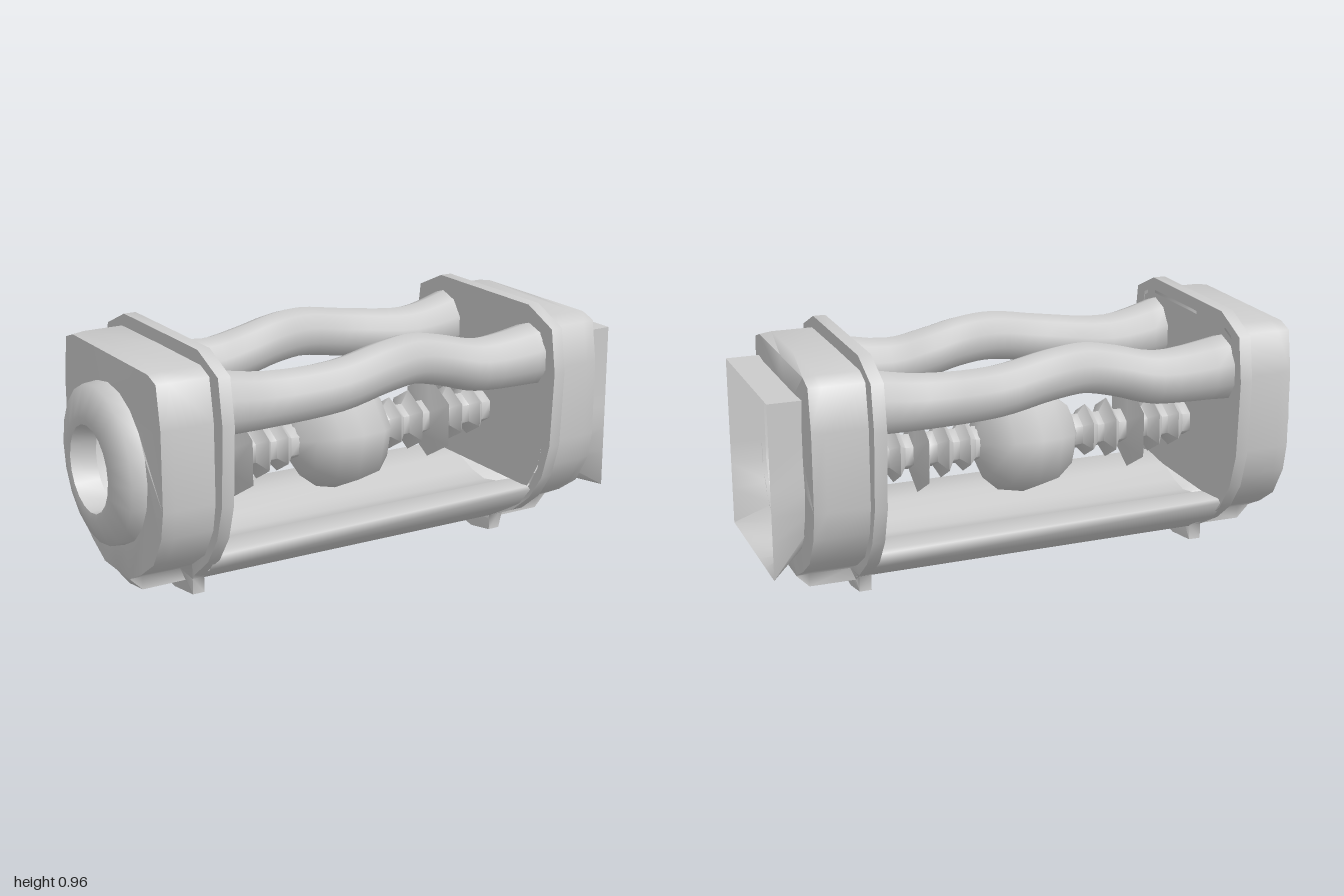
import * as THREE from 'three';
import { toCreasedNormals } from 'three/addons/utils/BufferGeometryUtils.js';

const mat = new THREE.MeshStandardMaterial({ color: 0xcccccc, side: THREE.DoubleSide });

function mesh(name, geometry) {
  const m = new THREE.Mesh(geometry, mat);
  m.name = name;
  return m;
}

// Skin a list of rings, each an array of [x, y, z] with the same point count
function loft(rings, flip = false, crease = 1.3) {
  const n = rings[0].length, index = [];
  for (let r = 0; r < rings.length - 1; r++) {
    for (let i = 0; i < n; i++) {
      const a = r * n + i, b = r * n + (i + 1) % n, c = a + n, d = b + n;
      index.push(...(flip ? [a, c, b, b, c, d] : [a, b, c, b, d, c]));
    }
  }
  const g = new THREE.BufferGeometry();
  g.setAttribute('position', new THREE.Float32BufferAttribute(rings.flat(2), 3));
  g.setIndex(index);
  return toCreasedNormals(g, crease);
}

// Complete a half outline of [z, y], whose first and last points lie on z = 0
const mirror = half => [...half, ...half.slice(1, -1).reverse().map(([z, y]) => [-z, y])];

const circle = (z, y, r, n = 20) => Array.from({ length: n }, (_, i) => {
  const t = i / n * Math.PI * 2;
  return [z + r * Math.sin(t), y + r * Math.cos(t)];
});

// Socket outline: squared off, with rounded lower corners when round is set
const socket = (n, round) => circle(0, 0, 1, n).map(([z, y]) => {
  const k = round && y < 0 ? 1.04 : 1 / Math.max(Math.abs(z), Math.abs(y));
  return [z * k * 0.297, 0.498 + y * k * 0.312];
});

// Flange outline with the half width of its foot
const flangeOutline = foot => mirror([[0, 0.952], [0.28, 0.952], [0.42, 0.89], [0.445, 0.73],
  [0.43, 0.45], [0.39, 0.32], [0.32, 0.22], [0.22, 0.14], [foot, 0.09], [foot, 0.032], [0, 0.0125]]);
const bodyOutline = mirror([[0, 0.907], [0.3, 0.905], [0.36, 0.88], [0.385, 0.73], [0.385, 0.45],
  [0.365, 0.35], [0.3, 0.24], [0.2, 0.172], [0.107, 0.125], [0.107, 0.077], [0, 0.063]]);

// Front rail: x, y, z of the centre line
const railCurve = new THREE.CatmullRomCurve3([
  [-0.68, 0.77, 0.267], [-0.45, 0.745, 0.25], [-0.2, 0.767, 0.3], [0, 0.8, 0.285],
  [0.15, 0.8, 0.245], [0.27, 0.775, 0.235], [0.42, 0.74, 0.255], [0.68, 0.76, 0.285],
].map(p => new THREE.Vector3(...p)));

function rail(name) {
  const rings = [];
  for (let i = 0; i <= 28; i++) {
    const p = railCurve.getPoint(i / 28);
    const r = 0.093 + 0.027 * Math.pow(Math.abs(p.x) / 0.67, 3);
    rings.push(circle(p.z, p.y, r, 10).map(([z, y]) => [p.x, y, z]));
  }
  return mesh(name, loft(rings));
}

// End cap with flange; s is the side, ending gives [x, outline] rings past the body
function cap(s, ending) {
  const dy = -s * 0.0125;
  const place = (outline, x, lean = 0) => outline.map(([z, y]) =>
    [s * (x - (y < 0.1 ? lean : 0)), y + dy, z]);
  const x = s > 0 ? 0.635 : 0.67, end = s > 0 ? 0.875 : 0.905;
  const flange = flangeOutline(s > 0 ? 0.114 : 0.142);
  const endOutline = bodyOutline.map(([z, y]) => [z * 0.985, Math.min(Math.max(y, 0.122), 0.9)]);
  return loft([
    place(bodyOutline, x, 0.03),
    place(flange, x, 0.03), place(flange, x + 0.045, 0.03),
    place(bodyOutline, x + 0.045, 0.02),
    place(bodyOutline, end - 0.045), place(endOutline, end),
    ...ending.map(([ex, outline]) => outline.map(([z, y]) => [s * ex, y, z])),
  ], s < 0);
}

// Flat wall inside a flange, pierced for the shaft and the two rails
function wall(s, x) {
  const toPoints = list => list.map(([z, y]) => new THREE.Vector2(z, y));
  const shape = new THREE.Shape(toPoints(bodyOutline.map(([z, y]) => [z, Math.max(y, 0.245)])));
  const front = railCurve.getPoint(s > 0 ? 1 : 0), back = railCurve.getPoint(s > 0 ? 0 : 1);
  shape.holes.push(
    new THREE.Path(toPoints(circle(0, 0.483, 0.062, 6))),
    new THREE.Path(toPoints(circle(front.z, front.y, 0.112, 10))),
    new THREE.Path(toPoints(circle(-back.z, back.y, 0.112, 10))));
  const g = new THREE.ShapeGeometry(shape);
  g.rotateY(-Math.PI / 2);
  g.translate(s * x, 0, 0);
  return g;
}

// Surface of revolution about the shaft axis from [x, radius] points
function turned(name, points, sides) {
  const g = new THREE.LatheGeometry(points.map(([x, r]) => new THREE.Vector2(r, x)), sides, Math.PI / 2);
  g.rotateZ(-Math.PI / 2);
  g.translate(0, 0.483, 0);
  return mesh(name, toCreasedNormals(g, 1.2));
}

// Shaft half: a thin six-sided tube with pointed ridges
function ridgedShaft(name, start, stop, ridges) {
  const points = [[start, 0.066]];
  for (const [x, r] of ridges) {
    points.push([x - 0.03, 0.066], [x, r], [x + 0.03, 0.066]);
  }
  points.push([stop, 0.066]);
  return turned(name, points, 6);
}

export function createModel() {
  const model = new THREE.Group();

  // End caps: a round bored nose on the right, an open socket on the left
  model.add(mesh('rightCap', cap(-1, [
    [0.912, circle(0, 0.53, 0.285)], [0.965, circle(0, 0.53, 0.28)], [1.0, circle(0, 0.52, 0.18)],
    [0.995, circle(0, 0.52, 0.155)], [0.9, circle(0, 0.52, 0.15)]])));
  model.add(mesh('leftCap', cap(1, [[0.885, socket(20, true)]])));
  model.add(mesh('rightWall', wall(-1, 0.672)));
  model.add(mesh('leftWall', wall(1, 0.637)));

  // Thin collar flaring from the socket to a square rim
  const collarRings = [[0.87, true], [1, false]].map(([x, round]) =>
    socket(24, round).map(([z, y]) => [x, y, z]));
  model.add(mesh('squareCollar', loft(collarRings)));

  // Two wavy rails, the back one turned half round
  const backRail = rail('backRail');
  backRail.rotation.y = Math.PI;
  model.add(rail('frontRail'), backRail);

  // Trough joining the caps underneath
  const trough = mirror([[0, 0.188], [0.08, 0.203], [0.17, 0.24], [0.31, 0.255],
    [0.325, 0.245], [0.26, 0.17], [0.12, 0.085], [0, 0.068]]);
  model.add(mesh('trough', loft([-0.68, 0.66].map(x =>
    trough.map(([z, y]) => [x, y - x * 0.008, z])), false, 1.7)));

  // Central shaft with its ball
  model.add(ridgedShaft('rightShaft', -0.675, -0.185,
    [[-0.61, 0.1], [-0.525, 0.115], [-0.44, 0.165], [-0.35, 0.115], [-0.265, 0.1]]));
  model.add(ridgedShaft('leftShaft', 0.16, 0.64,
    [[0.215, 0.1], [0.3, 0.115], [0.39, 0.16], [0.48, 0.11], [0.57, 0.1]]));
  model.add(turned('ball', [[-0.205, 0.066], [-0.17, 0.135], [-0.1, 0.19],
    [-0.02, 0.21], [0.08, 0.19], [0.14, 0.135], [0.17, 0.066]], 7));

  return model;
}
